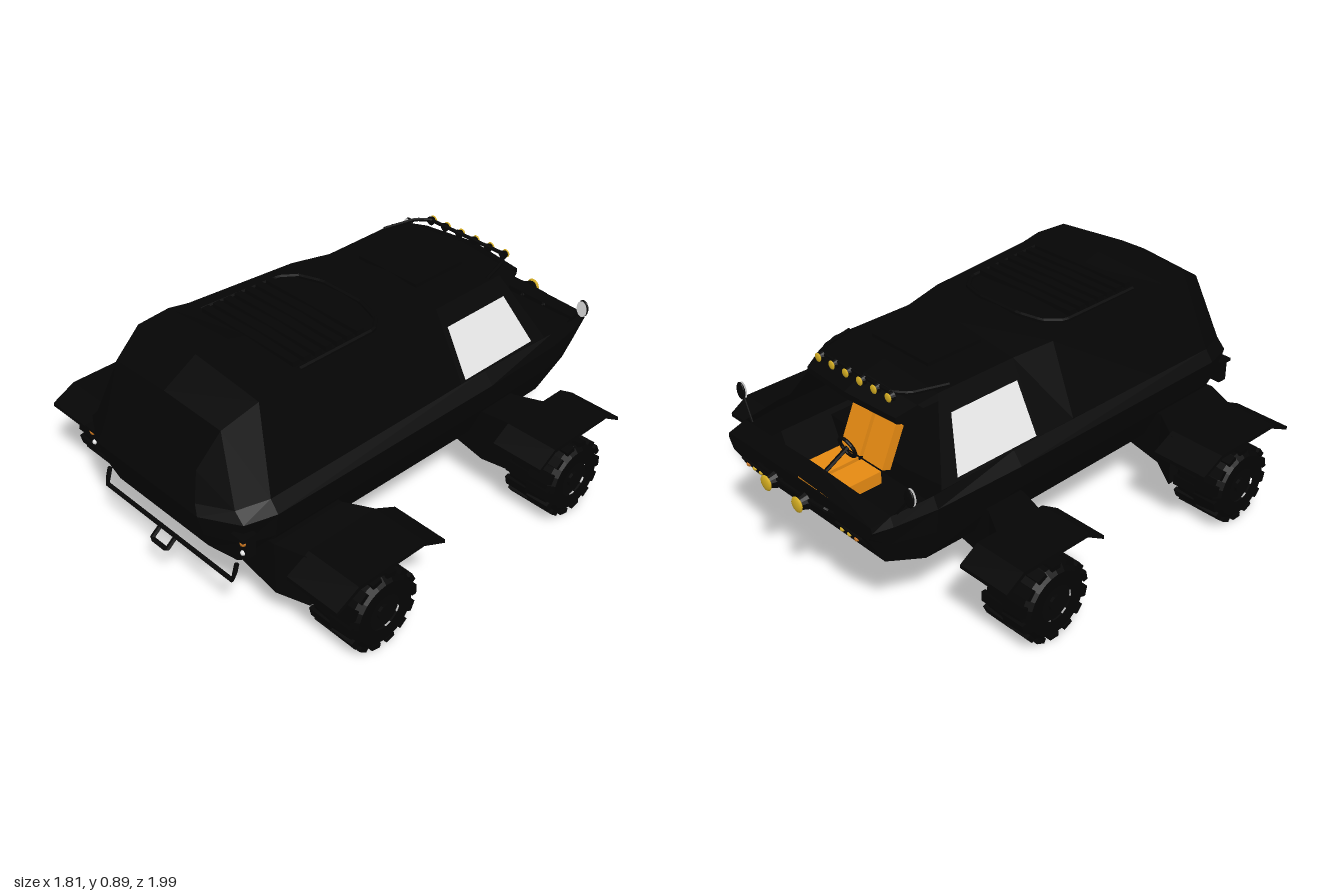
import * as THREE from 'three';

export function createModel() {
  const mat = (name, color, extra = {}) => {
    const m = new THREE.MeshStandardMaterial({ color, ...extra });
    m.name = name;
    return m;
  };
  const paint = mat('black paint', 0x050505, { flatShading: true, side: THREE.DoubleSide });
  const rubber = mat('tire rubber', 0x040404, { flatShading: true });
  const glass = mat('pale glass', 0xe6e6e6, { side: THREE.DoubleSide });
  const fabric = mat('orange seat fabric', 0xe68a12);
  const lamp = mat('yellow lamp', 0xd8b022);
  const signal = mat('amber signal', 0xc8741c);

  const model = new THREE.Group();
  model.name = 'armoredVehicle';
  const turned = new THREE.Group();
  turned.name = 'turnedBody';
  turned.rotation.y = -Math.PI / 18;
  const car = new THREE.Group();
  car.name = 'vehicle';
  car.position.x = 0.022;
  turned.add(car);
  model.add(turned);

  const add = (name, geo, m, x = 0, y = 0, z = 0, parent = car) => {
    const mesh = new THREE.Mesh(geo, m);
    mesh.name = name;
    mesh.position.set(x, y, z);
    parent.add(mesh);
    return mesh;
  };
  const box = (name, w, h, d, m, x, y, z, parent) => add(name, new THREE.BoxGeometry(w, h, d), m, x, y, z, parent);
  const tube = (name, pts, r, m = paint) => {
    const path = new THREE.CurvePath();
    const v = pts.map(p => new THREE.Vector3(...p));
    for (let i = 1; i < v.length; i++) path.add(new THREE.LineCurve3(v[i - 1], v[i]));
    return add(name, new THREE.TubeGeometry(path, (v.length - 1) * 8, r, 6), m);
  };
  // Skin through equal-length rows of points
  const loft = (name, rows, m = paint) => {
    const pos = [], idx = [], n = rows[0].length;
    rows.forEach(r => r.forEach(p => pos.push(...p)));
    for (let i = 0; i < rows.length - 1; i++) for (let j = 0; j < n - 1; j++) {
      const a = i * n + j, b = a + n;
      idx.push(a, b, a + 1, b, b + 1, a + 1);
    }
    const g = new THREE.BufferGeometry();
    g.setAttribute('position', new THREE.Float32BufferAttribute(pos, 3));
    g.setIndex(idx);
    g.computeVertexNormals();
    return add(name, g, m);
  };
  const mirrorRow = half => [...half.map(([x, y, z]) => [-x, y, z]).reverse(), ...half];
  // Forward-facing round lamp: dark case with a thin lens
  const roundLamp = (name, r, x, y, z) => {
    add(name + 'Case', new THREE.CylinderGeometry(r * 0.7, r * 1.1, r * 1.1, 14), paint, x, y, z + r * 0.6).rotation.x = -Math.PI / 2;
    add(name, new THREE.SphereGeometry(r, 14, 8), lamp, x, y, z).scale.z = 0.3;
  };

  // Lower hull: each row is z, then half-section points from keel to belt, with optional z shift
  const hullRows = [
    [-0.925, [0.38, 0.46], [0.39, 0.475], [0.405, 0.5], [0.4, 0.52]],
    [-0.85, [0.37, 0.33], [0.405, 0.42], [0.425, 0.5], [0.41, 0.535]],
    [-0.68, [0.38, 0.26], [0.44, 0.4], [0.45, 0.5], [0.43, 0.545]],
    [-0.3, [0.38, 0.255], [0.445, 0.4], [0.46, 0.5], [0.42, 0.55]],
    [0.76, [0.37, 0.255], [0.44, 0.4], [0.455, 0.5], [0.42, 0.545]],
    [0.88, [0.34, 0.28, -0.03], [0.4, 0.4, -0.015], [0.42, 0.5], [0.38, 0.54]],
    [0.96, [0.25, 0.32, -0.06], [0.27, 0.4, -0.03], [0.28, 0.5], [0.26, 0.54, -0.01]],
  ].map(([z, ...pts]) => mirrorRow(pts.map(([x, y, dz = 0]) => [x, y, z + dz])));
  loft('lowerHull', hullRows);
  for (const [name, row] of [['nosePlate', hullRows[0]], ['rearPlate', hullRows[6]]])
    loft(name, [row.slice(0, 4), row.slice(4).reverse()]);

  // Upper cabin: base, shoulder, ridge
  const cabinRows = [
    [[0.425, 0.545, -0.64], [0.28, 0.81, -0.52], [0, 0.83, -0.52]],
    [[0.42, 0.55, -0.17], [0.28, 0.81, -0.17], [0, 0.845, -0.17]],
    [[0.42, 0.55, 0], [0.31, 0.825, 0], [0, 0.845, 0]],
    [[0.42, 0.545, 0.45], [0.33, 0.845, 0.48], [0, 0.86, 0.48]],
    [[0.42, 0.545, 0.55], [0.33, 0.862, 0.57], [0, 0.886, 0.57]],
    [[0.42, 0.545, 0.76], [0.32, 0.86, 0.71], [0, 0.89, 0.71]],
    [[0.38, 0.54, 0.88], [0.28, 0.79, 0.84], [0, 0.81, 0.85]],
    [[0.26, 0.54, 0.95], [0.24, 0.65, 0.92], [0, 0.65, 0.925]],
    [[0.26, 0.54, 0.95], [0.26, 0.54, 0.95], [0, 0.54, 0.95]],
  ].map(([b, s, r]) => mirrorRow([r, s, b]));
  loft('upperCabin', cabinRows);

  // Roof visor over the open windshield, and hood
  loft('roofVisor', [
    mirrorRow([[0, 0.83, -0.52], [0.28, 0.81, -0.52]]),
    mirrorRow([[0, 0.81, -0.61], [0.265, 0.79, -0.6]]),
    mirrorRow([[0, 0.77, -0.7], [0.24, 0.76, -0.675]]),
    mirrorRow([[0, 0.745, -0.7], [0.24, 0.738, -0.675]]),
    mirrorRow([[0, 0.745, -0.55], [0.3, 0.745, -0.55]]),
  ]);
  loft('hood', [
    mirrorRow([[0, 0.545, -0.845], [0.41, 0.535, -0.845]]),
    mirrorRow([[0, 0.535, -0.925], [0.4, 0.52, -0.925]]),
  ]);

  for (const s of [-1, 1]) {
    // Side window lying just outside the cabin slope
    const side = y => s * (0.42 - (y - 0.55) * 0.14 / 0.26 + 0.007);
    loft('sideWindow', [
      [[side(0.56), 0.56, -0.565], [side(0.56), 0.56, -0.19]],
      [[side(0.745), 0.745, -0.5], [side(0.745), 0.745, -0.19]],
    ], glass);

    // Wing mirror
    tube('mirrorArm', [[s * 0.4, 0.52, -0.825], [s * 0.455, 0.6, -0.815]], 0.005);
    const back = add('mirrorShell', new THREE.SphereGeometry(1, 12, 8), paint, s * 0.468, 0.62, -0.816);
    back.scale.set(0.025, 0.036, 0.009);
    const face = add('mirrorGlass', new THREE.CircleGeometry(1, 16), glass, s * 0.468, 0.62, -0.806);
    face.scale.set(0.024, 0.035, 1);

    // Seats
    box('seatCushion', 0.108, 0.05, 0.19, fabric, s * 0.062, 0.45, -0.745);
    box('seatBack', 0.108, 0.17, 0.04, fabric, s * 0.062, 0.547, -0.592).rotation.x = 0.42;
    box('headrest', 0.108, 0.065, 0.04, fabric, s * 0.062, 0.672, -0.537).rotation.x = 0.42;
    box('headrestPost', 0.09, 0.06, 0.02, paint, s * 0.062, 0.635, -0.55).rotation.x = 0.42;

    // Lamps at nose and tail
    roundLamp('headlamp', 0.03, s * 0.088, 0.487, -0.99);
    tube('headlampBracket', [[s * 0.088, 0.47, -0.92], [s * 0.088, 0.487, -0.965]], 0.008);
    box('noseLampPanel', 0.14, 0.04, 0.012, paint, s * 0.27, 0.425, -0.908).rotation.x = -0.5;
    for (const i of [-1, 0, 1])
      add('noseLamp', new THREE.SphereGeometry(0.01, 8, 6), i === s ? signal : lamp, s * 0.27 + i * 0.038, 0.425, -0.914);
    add('tailSignal', new THREE.SphereGeometry(0.013, 8, 6), signal, s * 0.42, 0.43, 0.885);
    add('tailReflector', new THREE.SphereGeometry(0.01, 8, 6), glass, s * 0.416, 0.385, 0.885);
    box('tailLampMount', 0.055, 0.09, 0.04, paint, s * 0.408, 0.41, 0.864);
    box('tailLampHood', 0.06, 0.012, 0.06, paint, s * 0.41, 0.452, 0.872);

    // Wheels, fenders and axle fairings
    for (const [z, fz, half, outer] of [[-0.44, -0.447, 0.233, 0.778], [0.578, 0.564, 0.254, 0.793]]) {
      const wheel = new THREE.Group();
      wheel.name = 'wheel';
      wheel.position.set(s * 0.67, 0.159, z);
      car.add(wheel);
      const tire = [[0.07, -0.105], [0.125, -0.108], [0.148, -0.085], [0.153, 0], [0.148, 0.085], [0.125, 0.108], [0.07, 0.105]];
      const disc = (name, geo, m) => { add(name, geo, m, 0, 0, 0, wheel).rotation.z = Math.PI / 2; };
      disc('tire', new THREE.LatheGeometry(tire.map(p => new THREE.Vector2(...p)), 24), rubber);
      disc('hub', new THREE.CylinderGeometry(0.075, 0.075, 0.19, 16), paint);
      disc('hubCap', new THREE.CylinderGeometry(0.03, 0.03, 0.212, 10), paint);
      for (let i = 0; i < 28; i++) {
        const a = i * Math.PI / 14, x = i % 2 ? 0.05 : -0.05;
        box('treadBlock', 0.1, 0.018, 0.04, rubber, x, Math.cos(a) * 0.149, Math.sin(a) * 0.149, wheel).rotation.x = a;
      }
      const arch = new THREE.Shape([[-half, 0.315], [-0.15, 0.365], [0.15, 0.365], [half, 0.315],
        [half, 0.33], [0.155, 0.38], [-0.155, 0.38], [-half, 0.33]].map(p => new THREE.Vector2(...p)));
      const fg = new THREE.ExtrudeGeometry(arch, { depth: outer - 0.555, bevelEnabled: false });
      fg.rotateY(-Math.PI / 2).translate(s > 0 ? outer : -0.555, 0, fz);
      add('fender', fg, paint);

      const [i0, i1, o0, o1] = z < 0 ? [-0.45, -0.28, -0.52, -0.31] : [0.466, 0.78, 0.385, 0.735];
      const ring = (x, y0, y1, a, b) => [[x, y0, a], [x, y1, a], [x, y1, b], [x, y0, b], [x, y0, a]];
      loft('axleFairing', [
        ring(0, 0.2, 0.34, i0, i1),
        ring(s * 0.26, 0.2, 0.37, i0, i1),
        ring(s * 0.45, 0.16, 0.38, i0, i1),
        ring(s * 0.575, 0.155, 0.37, o0, o1),
      ]);
    }
  }

  // Belly brackets
  for (const z of [-0.09, 0.2]) box('bellyBracket', 0.06, 0.06, 0.035, paint, 0, 0.235, z);

  // Steering wheel
  add('steeringWheel', new THREE.TorusGeometry(0.04, 0.007, 8, 20), paint, -0.025, 0.565, -0.72).rotation.x = -0.3;
  tube('steeringColumn', [[-0.025, 0.565, -0.72], [-0.025, 0.5, -0.84]], 0.008);

  // Roof lamp bar
  tube('lampBar', [[-0.27, 0.815, -0.46], [-0.23, 0.82, -0.6], [-0.18, 0.82, -0.64],
    [0.18, 0.82, -0.64], [0.23, 0.82, -0.6], [0.27, 0.815, -0.46]], 0.008);
  for (let i = 0; i < 6; i++) roundLamp('roofLamp', 0.017, -0.19 + i * 0.076, 0.812, -0.662);

  // Roof hatch, cooling slats and rail
  box('roofHatch', 0.3, 0.014, 0.25, paint, 0, 0.838, -0.325);
  for (let i = 0; i < 7; i++) box('coolingSlat', 0.48, 0.022, 0.03, paint, 0, 0.849 + i * 0.0015, 0.175 + i * 0.05);
  tube('roofRail', [[-0.26, 0.848, 0.48], [-0.25, 0.838, 0.12], [-0.2, 0.84, 0.06], [-0.1, 0.845, 0.03],
    [0.1, 0.845, 0.03], [0.2, 0.84, 0.06], [0.25, 0.838, 0.12], [0.26, 0.848, 0.48]], 0.01);

  // Nose guard, rear bumper bar and tow loop
  tube('noseGuard', [[-0.2, 0.47, -0.92], [-0.19, 0.5, -0.95], [-0.1, 0.5, -0.958],
    [0.1, 0.5, -0.958], [0.19, 0.5, -0.95], [0.2, 0.47, -0.92]], 0.008);
  tube('rearBar', [[-0.36, 0.29, 0.87], [-0.36, 0.225, 0.89], [0.36, 0.225, 0.89], [0.36, 0.29, 0.87]], 0.009);
  tube('towLoop', [[-0.043, 0.225, 0.88], [-0.043, 0.185, 0.93], [0.043, 0.185, 0.93], [0.043, 0.225, 0.88]], 0.009);

  return model;
}
